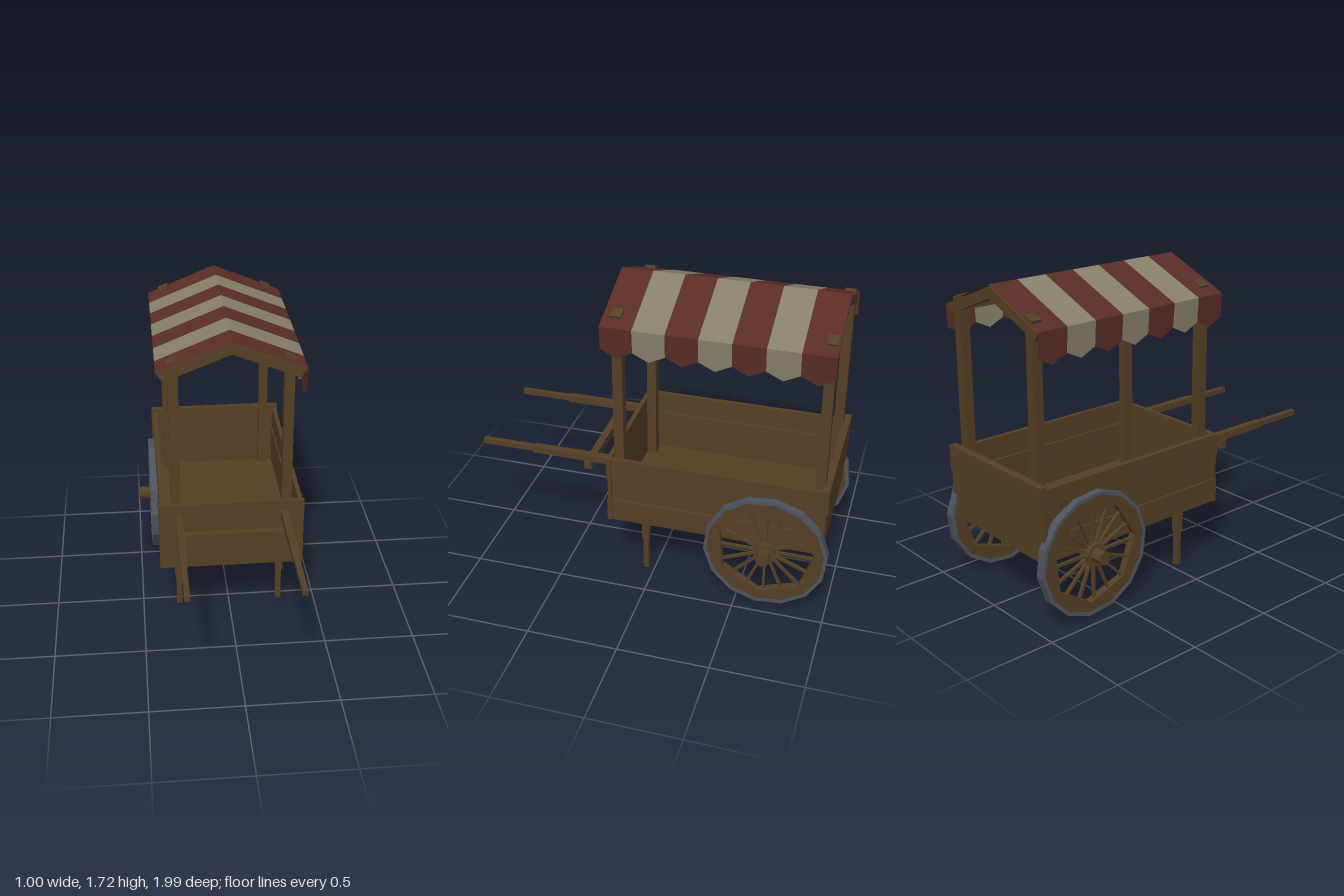
import * as THREE from 'three';

const mat = (name, color, side = THREE.FrontSide) => {
  const m = new THREE.MeshStandardMaterial({ color, side, flatShading: true });
  m.name = name;
  return m;
};

export function createModel() {
  const wood = mat('wood', 0x543f24);
  const iron = mat('iron', 0x4d535f);
  const red = mat('red cloth', 0x5a2d26, THREE.DoubleSide);
  const cream = mat('cream cloth', 0x87806a, THREE.DoubleSide);
  const cart = new THREE.Group();
  cart.name = 'marketCart';

  const add = (name, geometry, material, parent = cart) => {
    const m = new THREE.Mesh(geometry, material);
    m.name = name;
    parent.add(m);
    return m;
  };
  // Box given by its extents along each axis
  const box = (name, x0, x1, y0, y1, z0, z1, parent = cart) => {
    const m = add(name, new THREE.BoxGeometry(x1 - x0, y1 - y0, z1 - z0), wood, parent);
    m.position.set((x0 + x1) / 2, (y0 + y1) / 2, (z0 + z1) / 2);
    return m;
  };

  // Cart bed: floor and three slightly staggered planks per wall
  box('floor', -0.38, 0.38, 0.375, 0.4, -0.94, 0.22);
  const levels = [0.37, 0.505, 0.64, 0.77];
  for (let i = 0; i < 3; i++) {
    const y0 = levels[i], y1 = levels[i + 1];
    const step = i === 1 ? 0.006 : 0;
    box('frontPlank', -0.4, 0.4, y0, y1, 0.215, 0.24 - step);
    box('backPlank', -0.4, 0.4, y0, y1 + (i === 2 ? 0.014 : 0), -0.955 - i * 0.008, -0.93);
    for (const s of [-1, 1]) {
      const side = box('sidePlank', -0.0125, 0.0125, y0, y1 - 0.004, -0.935, 0.22);
      side.position.x = s * (0.38 - step);
    }
  }

  // Posts, legs and handles, mirrored left and right
  for (const s of [-1, 1]) {
    for (const z of [0.187, -0.912]) {
      box('roofPost', s * 0.304 - 0.027, s * 0.304 + 0.027, 0.39, 1.585, z - 0.027, z + 0.027);
      const cap = box('postCap', -0.03, 0.03, -0.018, 0.018, z - 0.03, z + 0.03);
      cap.position.set(s * 0.3, 1.59, z);
      cap.rotation.z = -s * 0.38;
    }
    box('eaveBeam', s * 0.305 - 0.02, s * 0.305 + 0.02, 1.53, 1.57, -0.9, 0.2);
    box('legTop', s * 0.292 - 0.021, s * 0.292 + 0.021, 0.205, 0.38, 0.028, 0.07);
    box('legFoot', s * 0.29 - 0.016, s * 0.29 + 0.016, 0, 0.21, 0.034, 0.064);
    box('handle', s * 0.29 - 0.02, s * 0.29 + 0.02, 0.672, 0.712, 0.2, 0.7);
    box('handleGrip', s * 0.29 - 0.015, s * 0.29 + 0.015, 0.678, 0.708, 0.69, 1);
  }
  box('handleCrossbar', -0.32, 0.32, 0.628, 0.674, 0.355, 0.397);
  box('legCrossbar', -0.3, 0.3, 0.355, 0.376, 0.03, 0.068);

  // Gable rafters at both ends of the roof
  const gable = new THREE.Shape([
    [-0.385, 1.548], [-0.355, 1.505], [0, 1.645], [0.355, 1.505], [0.385, 1.548], [0, 1.706],
  ].map(p => new THREE.Vector2(...p)));
  for (const z of [0.2, -0.945]) {
    const g = new THREE.ExtrudeGeometry(gable, { depth: 0.045, bevelEnabled: false });
    add('gableRafter', g, wood).position.z = z;
  }

  // Striped awning: seven bands, each with two slopes and pointed flaps
  const front = 0.257, band = 1.207 / 7;
  for (let i = 0; i < 7; i++) {
    const z0 = front - i * band, z1 = z0 - band, zm = (z0 + z1) / 2;
    const points = [0, 1.716, z0, 0, 1.716, z1];
    const index = [];
    for (const s of [-1, 1]) {
      const b = points.length / 3;
      points.push(s * 0.393, 1.556, z0, s * 0.393, 1.556, z1,
        s * 0.384, 1.425, z0, s * 0.383, 1.383, zm, s * 0.384, 1.425, z1);
      const faces = [[0, b, b + 1], [0, b + 1, 1], [b, b + 2, b + 3], [b, b + 3, b + 1], [b + 1, b + 3, b + 4]];
      for (const [p, q, r] of faces) index.push(...(s > 0 ? [p, q, r] : [p, r, q]));
    }
    const g = new THREE.BufferGeometry();
    g.setAttribute('position', new THREE.Float32BufferAttribute(points, 3));
    g.setIndex(index);
    const flat = g.toNonIndexed();
    flat.computeVertexNormals();
    add('awningStripe', flat, i % 2 ? cream : red);
  }

  // Axle
  const axle = add('axle', new THREE.CylinderGeometry(0.038, 0.038, 1, 8), wood);
  axle.rotation.z = Math.PI / 2;
  axle.position.set(0, 0.345, -0.655);

  // Wheels: iron tyre, wooden rim with a faceted opening, hub and spokes
  const polygon = (Kind, r, n, turn) => new Kind(Array.from({ length: n }, (_, i) => {
    const a = turn + i / n * Math.PI * 2;
    return new THREE.Vector2(r * Math.cos(a), r * Math.sin(a));
  }));
  const ring = (outer, inner, nOut, nIn, width) => {
    const shape = polygon(THREE.Shape, outer, nOut, 0.1);
    shape.holes.push(polygon(THREE.Path, inner, nIn, 0.1));
    return new THREE.ExtrudeGeometry(shape, { depth: width, bevelEnabled: false }).translate(0, 0, -width / 2);
  };
  for (const s of [-1, 1]) {
    const wheel = new THREE.Group();
    wheel.name = s > 0 ? 'leftWheel' : 'rightWheel';
    add('tyre', ring(0.341, 0.322, 14, 14, 0.05), iron, wheel);
    add('rim', ring(0.323, 0.268, 14, 7, 0.042), wood, wheel);
    const hub = add('hub', new THREE.CylinderGeometry(0.06, 0.06, 0.06, 12), wood, wheel);
    hub.rotation.x = Math.PI / 2;
    for (let i = 0; i < 16; i++) {
      const spoke = new THREE.Group();
      spoke.rotation.z = i / 16 * Math.PI * 2;
      box('spoke', 0.045, 0.262, -0.007, 0.007, -0.009, 0.009, spoke);
      wheel.add(spoke);
    }
    wheel.rotation.y = s * Math.PI / 2;
    wheel.position.set(s * 0.406, 0.345, -0.655);
    cart.add(wheel);
  }
  return cart;
}
